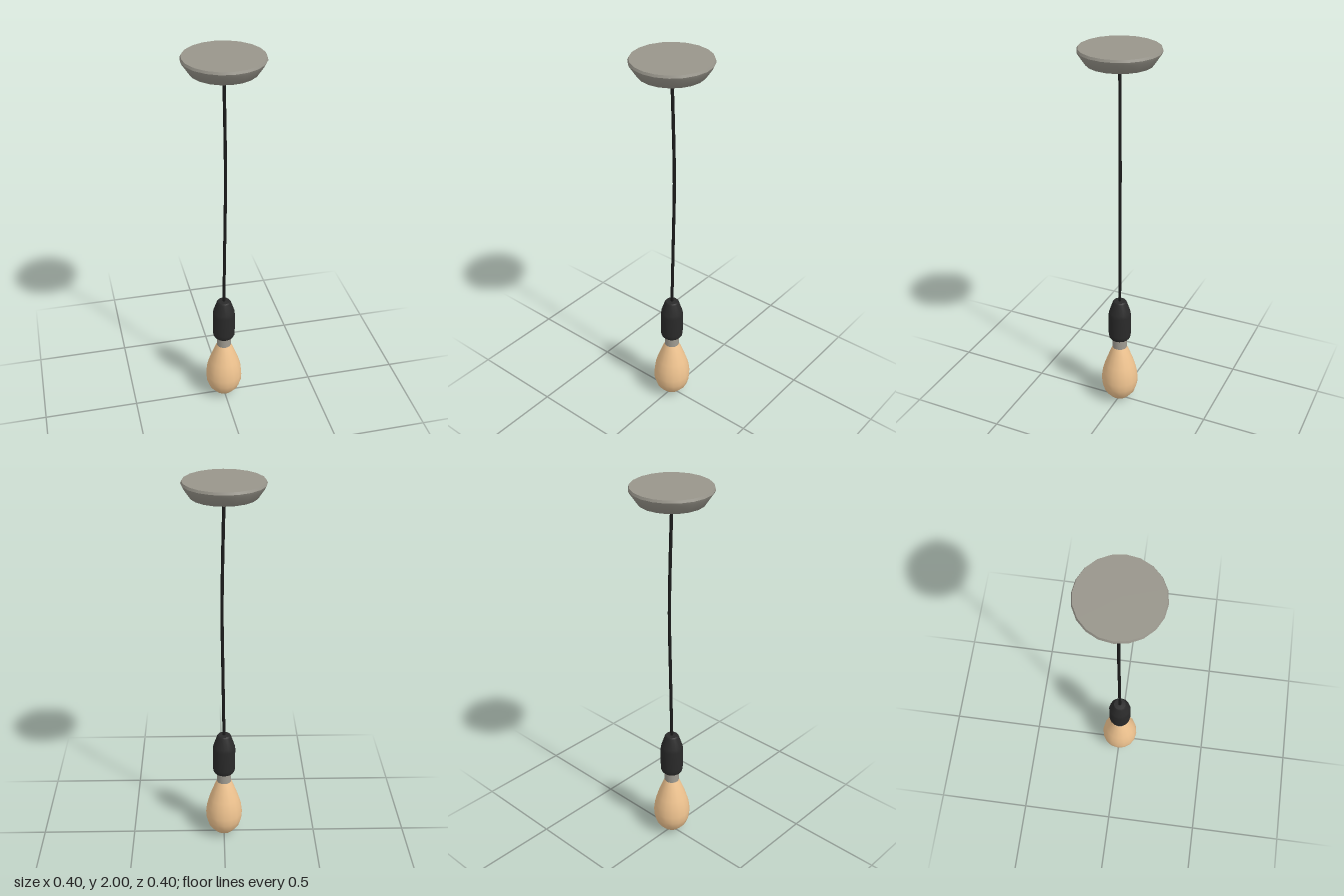
import * as THREE from 'three';

const material = (color) => new THREE.MeshStandardMaterial({ color, side: THREE.DoubleSide });

// Builds a turned part; each profile runs bottom to top, with a sharp edge between profiles.
function turned(name, color, sides, ...profiles) {
  const part = new THREE.Group();
  part.name = name;
  const mat = material(color);
  for (const profile of profiles) {
    const points = profile.map(([r, y]) => new THREE.Vector2(r, y));
    const mesh = new THREE.Mesh(new THREE.LatheGeometry(points, sides), mat);
    mesh.name = name + 'Surface';
    part.add(mesh);
  }
  return part;
}

export function createModel() {
  const lamp = new THREE.Group();
  lamp.name = 'pendantLamp';

  // Ceiling canopy: shallow dish, bevelled rim and flat top
  lamp.add(turned('canopy', 0x98958b, 20,
    [[0, 1.91], [0.08, 1.913], [0.162, 1.925], [0.196, 1.975], [0.202, 1.988]],
    [[0.202, 1.988], [0.197, 2]],
    [[0.197, 2], [0, 2]]));

  // Cord with a slight bow
  const path = new THREE.CatmullRomCurve3([
    [0, 1.92, 0], [0.006, 1.65, -0.004], [0.01, 1.35, -0.007],
    [0.006, 1.02, -0.004], [0, 0.62, 0],
  ].map((p) => new THREE.Vector3(...p)));
  const cord = new THREE.Mesh(new THREE.TubeGeometry(path, 16, 0.008, 8), material(0x1c1c1c));
  cord.name = 'cord';
  lamp.add(cord);

  // Lamp holder with tapered shoulder
  lamp.add(turned('socket', 0x2a2a2a, 16,
    [[0, 0.4], [0.052, 0.4]],
    [[0.052, 0.4], [0.058, 0.41], [0.06, 0.43], [0.06, 0.545], [0.057, 0.565],
      [0.038, 0.622], [0.032, 0.63]],
    [[0.032, 0.63], [0, 0.632]]));

  // Metal bulb cap
  lamp.add(turned('bulbCap', 0xa09c92, 16, [[0.039, 0.33], [0.039, 0.405]]));

  // Teardrop glass bulb
  lamp.add(turned('bulb', 0xf0c490, 16,
    [[0, 0.003], [0.025, 0.007], [0.052, 0.021], [0.083, 0.058], [0.097, 0.1], [0.099, 0.14],
      [0.093, 0.19], [0.08, 0.236], [0.06, 0.29], [0.046, 0.325], [0.038, 0.343]],
    [[0.038, 0.343], [0, 0.343]]));

  return lamp;
}
